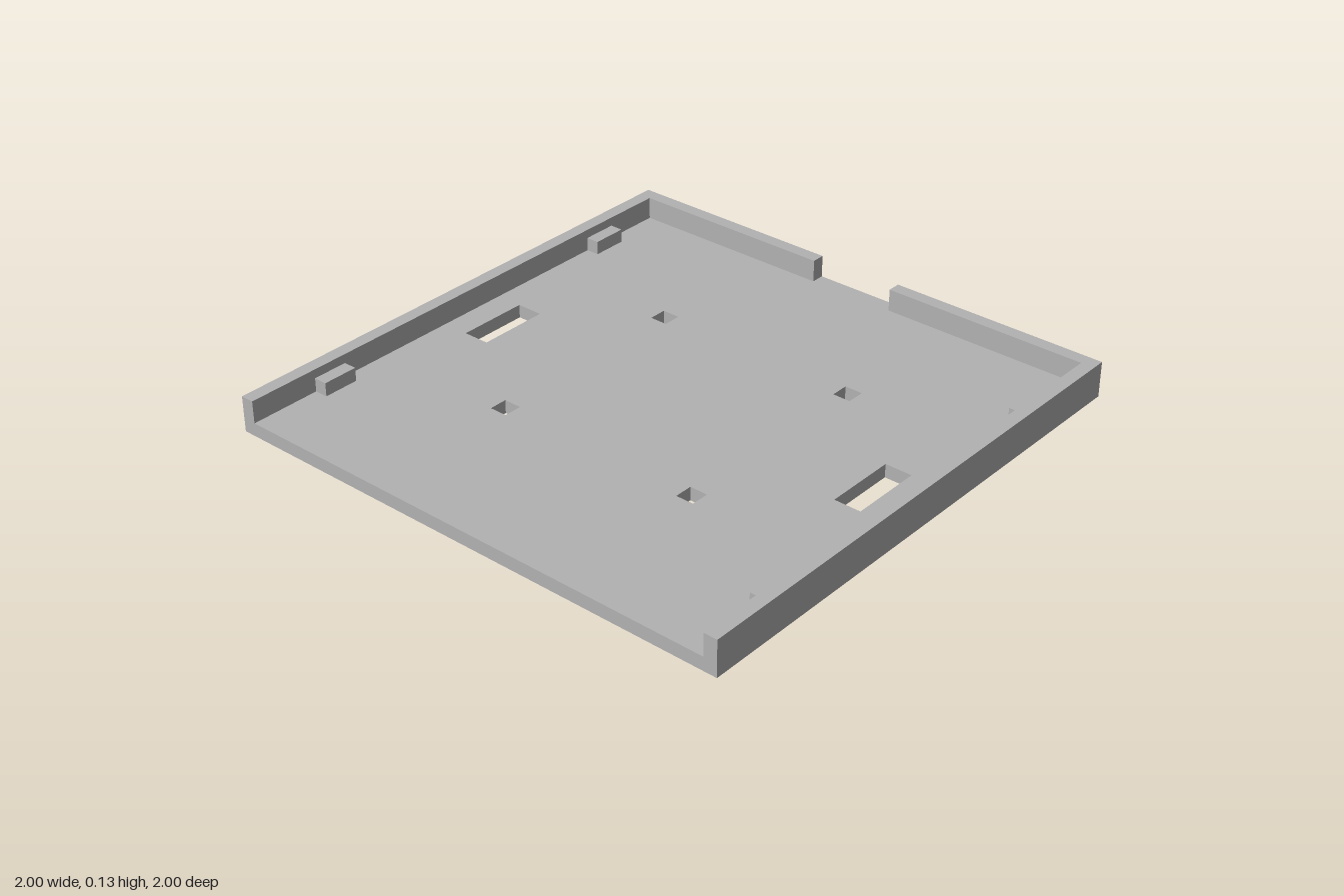
import * as THREE from 'three';

const BASE_TOP = 0.05;   // floor thickness
const WALL_TOP = 0.133;  // rim height
const INNER = 0.95;      // inner face of the rim
const GAP = 0.167;       // half width of the rear notch

// Closed outline from [x, z] corners
const outline = (points, Type = THREE.Shape) =>
  new Type(points.map(([x, z]) => new THREE.Vector2(x, z)));

const rect = (cx, cz, w, d) => [
  [cx - w / 2, cz - d / 2], [cx + w / 2, cz - d / 2],
  [cx + w / 2, cz + d / 2], [cx - w / 2, cz + d / 2],
];

// Raise a plan outline (x, z) from height y0 to y1
function slab(shape, y0, y1) {
  const geometry = new THREE.ExtrudeGeometry(shape, { depth: y1 - y0, bevelEnabled: false });
  geometry.rotateX(Math.PI / 2);
  geometry.translate(0, y1, 0);
  return geometry;
}

export function createModel() {
  const model = new THREE.Group();
  model.name = 'tray';
  const grey = new THREE.MeshStandardMaterial({ color: 0xb2b2b2 });
  grey.name = 'grey';

  const add = (name, geometry) => {
    const mesh = new THREE.Mesh(geometry, grey);
    mesh.name = name;
    model.add(mesh);
    return mesh;
  };

  // Floor plate with four square holes and two long slots
  const floor = outline(rect(0, 0, 2, 2));
  for (const sx of [-1, 1]) {
    floor.holes.push(outline(rect(sx * 0.8, 0, 0.1, 0.267), THREE.Path));
    for (const sz of [-1, 1]) {
      floor.holes.push(outline(rect(sx * 0.4, sz * 0.4, 0.067, 0.067), THREE.Path));
    }
  }
  add('floorPlate', slab(floor, 0, BASE_TOP));

  for (const [side, s] of [['left', 1], ['right', -1]]) {
    // L-shaped rim: full side wall plus half of the notched rear wall
    const rim = outline([
      [s, 1], [s, -1], [s * GAP, -1], [s * GAP, -INNER], [s * INNER, -INNER], [s * INNER, 1],
    ]);
    add(side + 'Rim', slab(rim, BASE_TOP, WALL_TOP));

    // Small retaining blocks inside the side wall
    for (const [end, sz] of [['Front', 1], ['Back', -1]]) {
      const block = add(side + end + 'Block', new THREE.BoxGeometry(0.05, 0.05, 0.133));
      block.position.set(s * 0.925, BASE_TOP + 0.025, sz * 0.667);
    }
  }

  return model;
}
